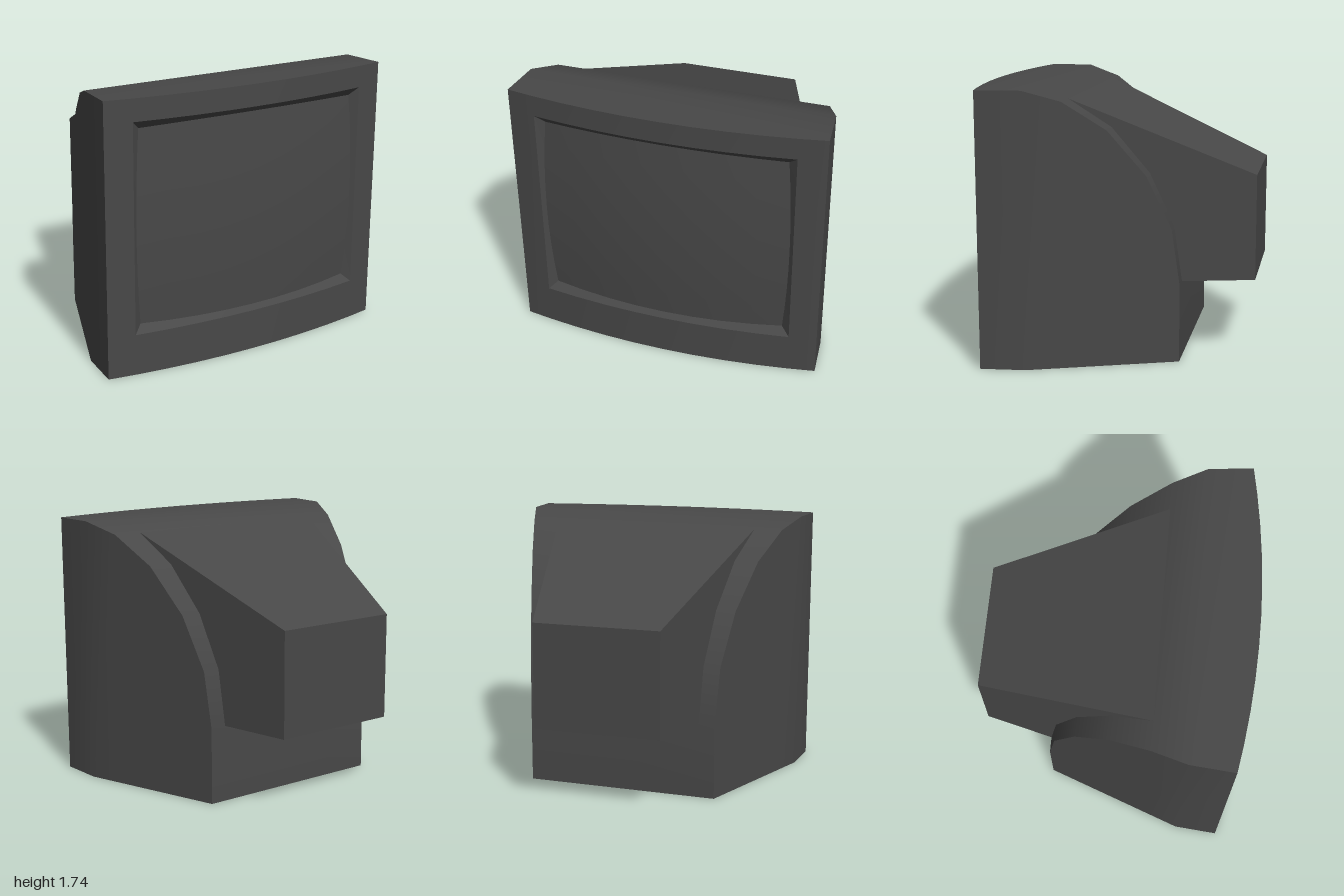
import * as THREE from 'three';
import { toCreasedNormals } from 'three/addons/utils/BufferGeometryUtils.js';

const N = 8; // segments across the front

// Collects quads (corners anticlockwise from outside) into one geometry
function quadGeometry(quads) {
  const pos = [];
  for (const [a, b, c, d] of quads) pos.push(...a, ...b, ...c, ...a, ...c, ...d);
  const g = new THREE.BufferGeometry();
  g.setAttribute('position', new THREE.Float32BufferAttribute(pos, 3));
  return toCreasedNormals(g, 0.5);
}

// Rectangular sections [z, halfWidth, bottom, top] from front to back, closed at the back
function loft(sections) {
  const rings = sections.map(([z, w, b, t]) => [[-w, b, z], [w, b, z], [w, t, z], [-w, t, z]]);
  const quads = [];
  for (let s = 0; s + 1 < rings.length; s++) {
    const A = rings[s], B = rings[s + 1];
    for (let i = 0; i < 4; i++) {
      const j = (i + 1) % 4;
      quads.push([A[i], B[i], B[j], A[j]]);
    }
  }
  const r = rings[rings.length - 1];
  quads.push([r[0], r[3], r[2], r[1]]);
  return quads;
}

const EDGE_Z = 0.78, TOP = 1.74, MID = 0.9325;
const OPEN_W = 0.825, OPEN_H = 0.6675;
const frontZ = x => EDGE_Z + 0.093 * (1 - x * x);

// Opening rim and bulging screen, both over u, v in -1..1
const rim = (u, v) => [u * OPEN_W, MID + v * OPEN_H, frontZ(u * OPEN_W)];
function screenPoint(u, v) {
  const x = u * (0.8 - 0.03 * v * v);
  const y = MID + v * (0.635 - 0.018 * u * u);
  return [x, y, 0.87 - 0.125 * x * x - 0.06 * (y - MID) ** 2];
}

export function createModel() {
  const model = new THREE.Group();
  const plastic = new THREE.MeshStandardMaterial({ color: 0x484848 });
  plastic.name = 'dark grey plastic';
  const add = (name, geometry) => {
    const mesh = new THREE.Mesh(geometry, plastic);
    mesh.name = name;
    model.add(mesh);
  };

  // Casing: tapering body with a rounded-off back
  const width = z => 0.975 - 0.34 * (0.495 - z) / 0.915;
  const profile = [[0.495, TOP], [0.27, 1.67], [0.01, 1.49], [-0.22, 1.2], [-0.37, 0.86], [-0.42, 0.5]];
  const casing = loft([[EDGE_Z, 1, 0, TOP], ...profile.map(([z, t]) => [z, width(z), 0, t])]);

  // Bowed front frame around the opening, with its top and bottom edges
  const xs = [-1];
  for (let i = 0; i <= N; i++) xs.push(OPEN_W * (2 * i / N - 1));
  xs.push(1);
  for (let i = 0; i + 1 < xs.length; i++) {
    const a = xs[i], b = xs[i + 1], za = frontZ(a), zb = frontZ(b);
    const band = (lo, hi) => casing.push([[a, lo, za], [b, lo, zb], [b, hi, zb], [a, hi, za]]);
    if (i === 0 || i === xs.length - 2) band(0, TOP);
    else {
      band(0, MID - OPEN_H);
      band(MID + OPEN_H, TOP);
    }
    casing.push([[a, TOP, za], [b, TOP, zb], [b, TOP, EDGE_Z], [a, TOP, EDGE_Z]]);
    casing.push([[a, 0, EDGE_Z], [b, 0, EDGE_Z], [b, 0, zb], [a, 0, za]]);
  }
  add('casing', quadGeometry(casing));

  // Sloped bezel from the opening down to the screen
  const loop = [];
  for (const [u, v, du, dv] of [[-1, -1, 1, 0], [1, -1, 0, 1], [1, 1, -1, 0], [-1, 1, 0, -1]]) {
    for (let i = 0; i < N; i++) loop.push([u + du * 2 * i / N, v + dv * 2 * i / N]);
  }
  add('screenBezel', quadGeometry(loop.map((p, i) => {
    const q = loop[(i + 1) % loop.length];
    return [rim(...p), rim(...q), screenPoint(...q), screenPoint(...p)];
  })));

  // Curved screen
  const screen = new THREE.PlaneGeometry(2, 2, N, N);
  const pos = screen.attributes.position;
  for (let i = 0; i < pos.count; i++) pos.setXYZ(i, ...screenPoint(pos.getX(i), pos.getY(i)));
  screen.computeVertexNormals();
  add('screen', screen);

  // Tapered housing for the tube at the back
  add('rearHousing', quadGeometry(loft([[0.27, 0.705, 0.5, 1.67], [-0.875, 0.415, 0.5, 1.18]])));

  return model;
}
